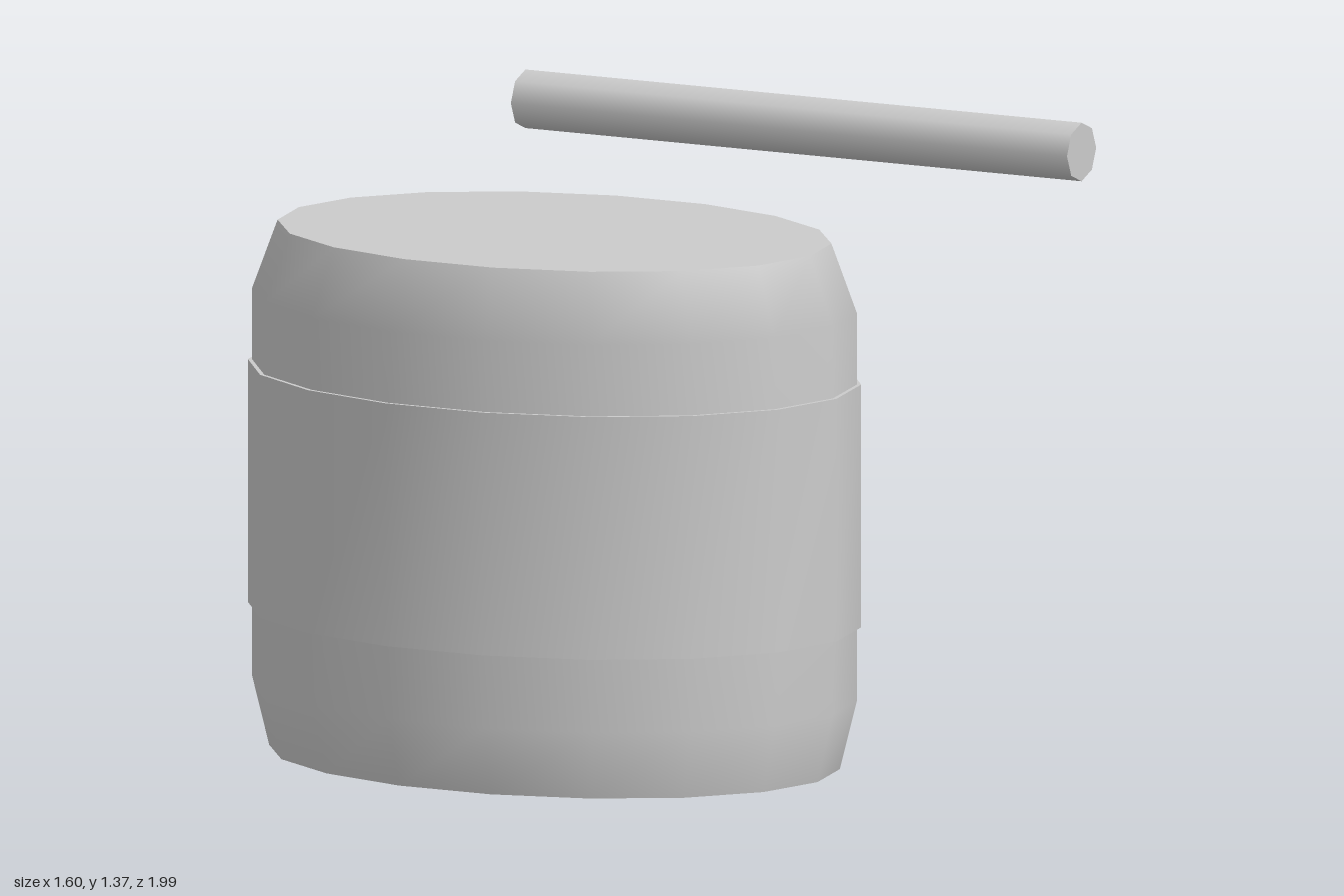
import * as THREE from 'three';

const SIDES = 18;
const RX = 0.752, RZ = 0.575; // half-axes of the oval body

// Oval drum from [inset, y] rings listed bottom to top: smooth walls, flat ends.
function ovalDrum(rings) {
  const pos = [], index = [];
  const addRing = ([inset, y]) => {
    const start = pos.length / 3;
    for (let i = 0; i < SIDES; i++) {
      const a = (i / SIDES) * Math.PI * 2;
      pos.push((RX - inset) * Math.cos(a), y, (RZ - inset) * Math.sin(a));
    }
    return start;
  };

  // walls
  const starts = rings.map(addRing);
  for (let r = 0; r + 1 < starts.length; r++) {
    for (let i = 0; i < SIDES; i++) {
      const j = (i + 1) % SIDES;
      const a = starts[r] + i, b = starts[r] + j;
      const c = starts[r + 1] + i, d = starts[r + 1] + j;
      index.push(a, c, b, b, c, d);
    }
  }

  // end caps with their own vertices, so the rims stay sharp
  const bottom = addRing(rings[0]);
  const top = addRing(rings[rings.length - 1]);
  for (let i = 1; i + 1 < SIDES; i++) {
    index.push(bottom, bottom + i, bottom + i + 1);
    index.push(top, top + i + 1, top + i);
  }

  const geo = new THREE.BufferGeometry();
  geo.setAttribute('position', new THREE.Float32BufferAttribute(pos, 3));
  geo.setIndex(index);
  geo.computeVertexNormals();
  return geo;
}

export function createModel() {
  const model = new THREE.Group();
  const material = new THREE.MeshStandardMaterial({ color: 0xcccccc });
  const add = (parent, name, geometry) => {
    const mesh = new THREE.Mesh(geometry, material);
    mesh.name = name;
    parent.add(mesh);
    return mesh;
  };

  // oval drum with tapered ends and a wide raised band
  const drum = new THREE.Group();
  drum.name = 'drum';
  drum.position.set(0.035, 0, 0.413);
  model.add(drum);
  add(drum, 'drumBody', ovalDrum([[0.041, 0], [0, 0.165], [0, 1.09], [0.061, 1.255]]));
  add(drum, 'drumBand', ovalDrum([[-0.01, 0.34], [-0.01, 0.92]]));

  // separate eight-sided rod lying across, behind the drum
  const rod = add(model, 'rod', new THREE.CylinderGeometry(0.07, 0.07, 1.503, 8));
  rod.rotation.z = Math.PI / 2;
  rod.position.set(-0.049, 1.3, -0.93);

  return model;
}
